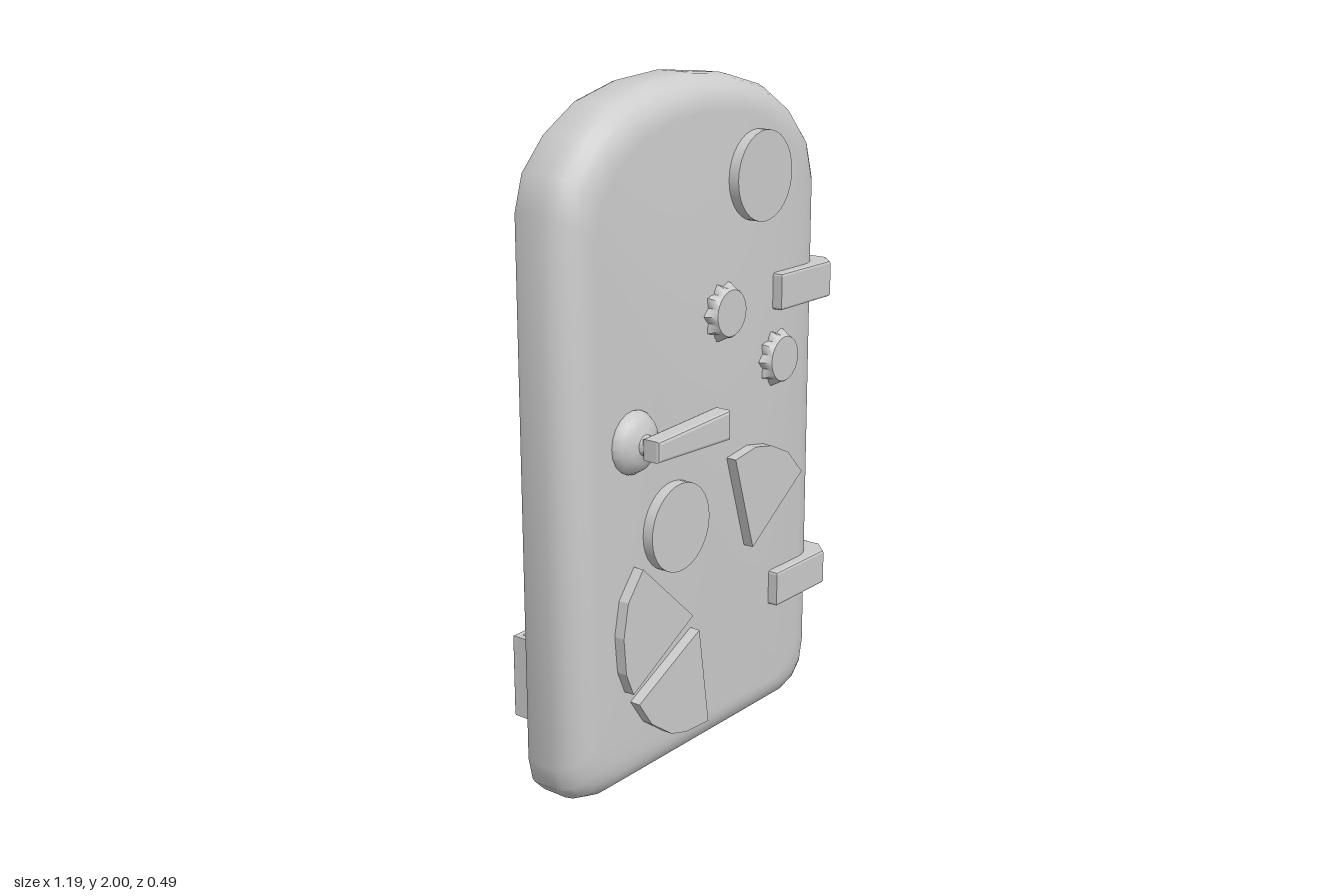
import * as THREE from 'three';
import { toCreasedNormals } from 'three/addons/utils/BufferGeometryUtils.js';

const material = new THREE.MeshStandardMaterial({ color: 0xcccccc });
const FRONT = 0.13, BACK = -0.065;

function add(parent, name, geometry, x = 0, y = 0, z = 0) {
  const mesh = new THREE.Mesh(geometry, material);
  mesh.name = name;
  mesh.position.set(x, y, z);
  parent.add(mesh);
  return mesh;
}

// Skin counter-clockwise rings of [x, y, z], ordered from back to front, with both ends capped
function loft(rings, crease = 0.6) {
  const n = rings[0].length, pos = rings.flat(2), index = [];
  for (let r = 0; r < rings.length - 1; r++) {
    for (let i = 0; i < n; i++) {
      const a = r * n + i, b = r * n + (i + 1) % n;
      index.push(a, b, b + n, a, b + n, a + n);
    }
  }
  const top = (rings.length - 1) * n;
  for (let i = 1; i < n - 1; i++) {
    index.push(0, i + 1, i);
    index.push(top, top + i, top + i + 1);
  }
  const g = new THREE.BufferGeometry();
  g.setAttribute('position', new THREE.Float32BufferAttribute(pos, 3));
  g.setIndex(index);
  return toCreasedNormals(g, crease);
}

const toShape = points => new THREE.Shape(points.map(p => new THREE.Vector2(...p)));

function extrude(points, depth, bevel = 0) {
  return new THREE.ExtrudeGeometry(toShape(points), {
    depth: depth - 2 * bevel, bevelEnabled: bevel > 0, bevelSize: bevel,
    bevelThickness: bevel, bevelOffset: -bevel, bevelSegments: 2,
  }).translate(0, 0, bevel);
}

// Arched slab: large soft edge at the front, small one at the back
function doorGeometry() {
  const cx = -0.025, hw = 0.575;
  const half = [[0.45, 0], [0.52, 0.02], [0.56, 0.06], [0.575, 0.13], [0.575, 1.68],
    [0.545, 1.78], [0.46, 1.87], [0.335, 1.945], [0.18, 1.985]];
  const outline = [...half, [0, 2], ...half.map(([x, y]) => [-x, y]).reverse()];
  const ring = (inset, z) => outline.map(([x, y]) =>
    [cx + x * (1 - inset / hw), 1 + (y - 1) * (1 - inset), z]);
  const rings = [ring(0.015, BACK), ring(0.004, BACK + 0.005), ring(0, BACK + 0.017)];
  const r = 0.1;
  for (let i = 0; i <= 6; i++) {
    const a = i / 6 * Math.PI / 2;
    rings.push(ring(r * (1 - Math.cos(a)), FRONT - r + r * Math.sin(a)));
  }
  return loft(rings);
}

// Strap wrapping round the door edge, ending in a flared plate
function addHinge(parent, y) {
  const hinge = new THREE.Group();
  hinge.name = 'hinge';
  hinge.position.y = y;
  parent.add(hinge);
  const strap = extrude([[0.29, -0.11], [0.29, -0.162], [0.545, -0.162], [0.59, -0.115],
    [0.59, 0], [0.535, 0], [0.535, -0.09], [0.5, -0.11]], 0.11, 0.008);
  strap.rotateX(-Math.PI / 2).translate(0, -0.055, 0);
  add(hinge, 'hingeStrap', strap);
  const plate = extrude([[-0.07, -0.05], [-0.05, -0.05], [0.02, -0.096], [0.047, -0.096],
    [0.055, -0.085], [0.055, 0.085], [0.047, 0.096], [0.02, 0.096],
    [-0.05, 0.05], [-0.07, 0.05]], 0.05, 0.006);
  plate.rotateY(Math.PI / 2).translate(0.542, 0, 0);
  add(hinge, 'hingePlate', plate);
}

// Bottle-cap magnet: scalloped rim narrowing to a round face
function capGeometry() {
  const n = 40;
  const ring = (r, wave, z) => Array.from({ length: n }, (_, i) => {
    const a = i / n * Math.PI * 2, q = r + wave * Math.cos(a * 10);
    return [q * Math.cos(a), q * Math.sin(a), z];
  });
  return loft([ring(0.079, 0.009, -0.005), ring(0.077, 0.007, 0.01),
    ring(0.072, 0.002, 0.025), ring(0.067, 0, 0.034)], 0.5);
}

function addHandle(parent) {
  const handle = new THREE.Group();
  handle.name = 'handle';
  handle.position.set(-0.355, 1.04, FRONT);
  parent.add(handle);
  const profile = [[0.09, -0.01], [0.09, 0.005], [0.078, 0.025], [0.055, 0.038],
    [0.03, 0.045], [0.025, 0.07], [0, 0.07]];
  const base = new THREE.LatheGeometry(profile.map(p => new THREE.Vector2(...p)), 20);
  add(handle, 'handleBase', toCreasedNormals(base.rotateX(Math.PI / 2), 0.6));
  const lever = extrude([[-0.03, -0.032], [0.29, -0.042], [0.29, 0.045], [-0.03, 0.028]], 0.06, 0.009);
  add(handle, 'handleLever', lever, 0, 0, 0.055);
}

// Open-topped bin on the back, with a slotted outer panel
function addShelf(parent) {
  const shelf = new THREE.Group();
  shelf.name = 'shelf';
  parent.add(shelf);
  const x0 = -0.455, x1 = 0.41, y0 = 0.16, y1 = 0.41, t = 0.02, z0 = -0.245;
  const panel = toShape([[x0, y0], [x1, y0], [x1, y1], [x0, y1]]);
  for (let i = 0; i < 6; i++) {
    const x = -0.32 + i * 0.12, w = 0.025;
    panel.holes.push(new THREE.Path([[x - w, 0.21], [x - w, 0.355], [x + w, 0.355], [x + w, 0.21]]
      .map(p => new THREE.Vector2(...p))));
  }
  const panelGeometry = new THREE.ExtrudeGeometry(panel, {
    depth: 0.008, bevelSize: 0.006, bevelThickness: 0.006, bevelOffset: -0.006, bevelSegments: 2,
  });
  add(shelf, 'shelfPanel', panelGeometry, 0, 0, z0 + 0.006);
  const depth = BACK - z0 - 0.01, zc = z0 + 0.015 + depth / 2;
  for (const x of [x0 + t / 2, x1 - t / 2]) {
    add(shelf, 'shelfSide', new THREE.BoxGeometry(t, y1 - y0, depth), x, (y0 + y1) / 2, zc);
  }
  add(shelf, 'shelfFloor', new THREE.BoxGeometry(x1 - x0 - t, t, depth), (x0 + x1) / 2, y0 + t / 2, zc);
}

export function createModel() {
  const model = new THREE.Group();
  model.name = 'fridgeDoor';
  add(model, 'door', doorGeometry());
  for (const y of [1.347, 0.417]) addHinge(model, y);
  addHandle(model);
  addShelf(model);

  // Magnets on the front
  for (const [x, y] of [[0.045, 1.33], [0.31, 1.145]]) add(model, 'capMagnet', capGeometry(), x, y, FRONT);
  const disc = new THREE.CylinderGeometry(0.13, 0.13, 0.04, 32).rotateX(Math.PI / 2);
  for (const [x, y] of [[0.2, 1.7], [-0.185, 0.755]]) add(model, 'roundMagnet', disc, x, y, FRONT + 0.013);
  const wedges = [
    [[0.16, 0.595], [0.41, 0.77], [0.335, 0.85], [0.25, 0.89], [0.17, 0.905], [0.07, 0.89]],
    [[-0.13, 0.47], [-0.355, 0.68], [-0.42, 0.6], [-0.44, 0.5], [-0.43, 0.39], [-0.4, 0.32]],
    [[-0.055, 0.11], [-0.1, 0.415], [-0.375, 0.28], [-0.32, 0.2], [-0.23, 0.135], [-0.16, 0.115]],
  ];
  for (const w of wedges) add(model, 'wedgeMagnet', extrude(w, 0.043), 0, 0, FRONT - 0.01);
  return model;
}
